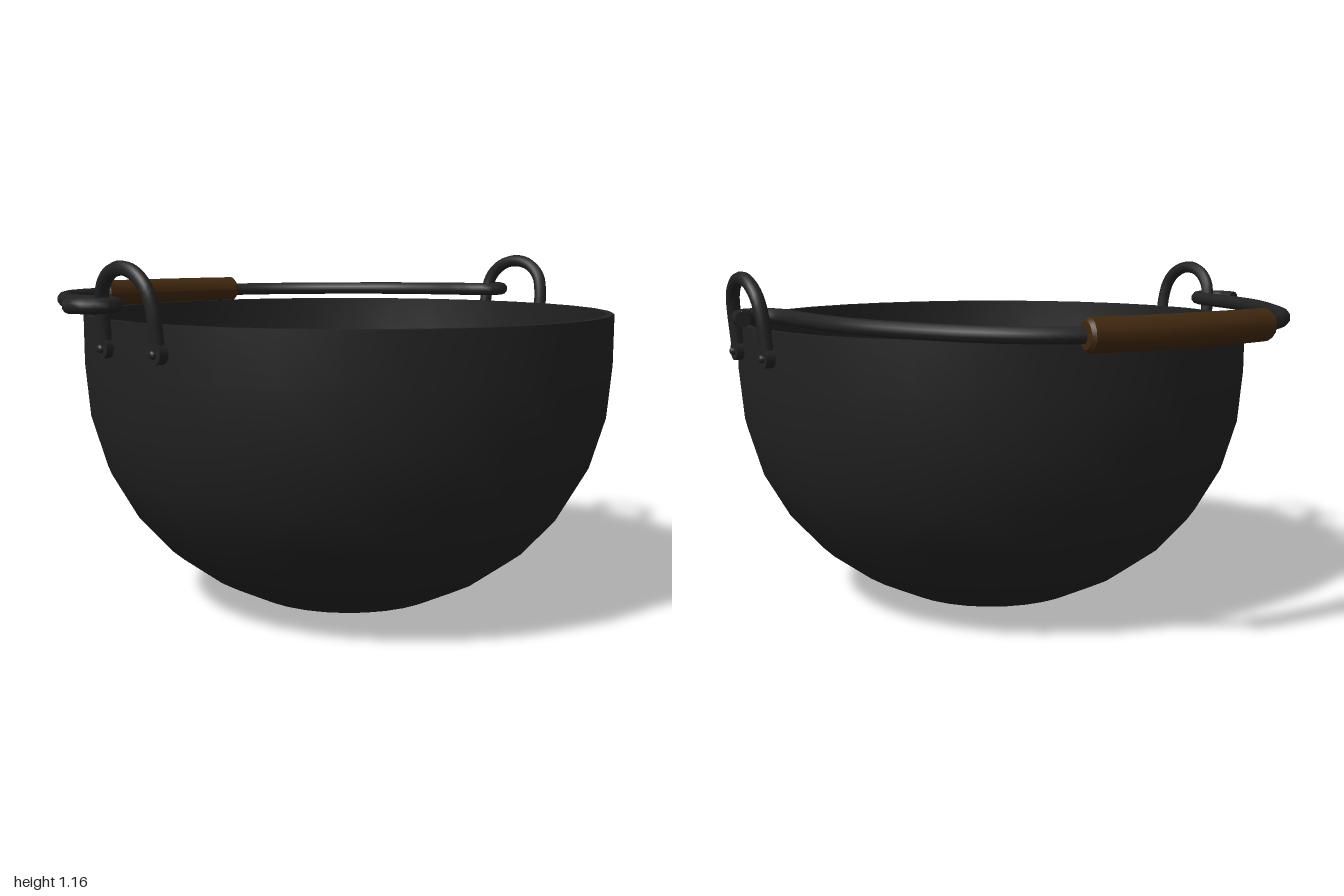
import * as THREE from 'three';
import { mergeGeometries } from 'three/addons/utils/BufferGeometryUtils.js';

const iron = new THREE.MeshStandardMaterial({ color: 0x222222 });
iron.name = 'castIron';
const wood = new THREE.MeshStandardMaterial({ color: 0x40270e });
wood.name = 'gripWood';

const vec = (p) => new THREE.Vector3(...p);

function add(parent, name, geometry, material = iron) {
  const mesh = new THREE.Mesh(geometry, material);
  mesh.name = name;
  parent.add(mesh);
  return mesh;
}

// Round rod along a smooth curve, closed with a flat disc at each end
function rod(points, radius, segments, sides = 10) {
  const curve = new THREE.CatmullRomCurve3(points.map(vec));
  const parts = [new THREE.TubeGeometry(curve, segments, radius, sides)];
  for (const t of [0, 1]) {
    const dir = curve.getTangentAt(t).multiplyScalar(t ? 1 : -1);
    const q = new THREE.Quaternion().setFromUnitVectors(new THREE.Vector3(0, 0, 1), dir);
    const at = curve.getPointAt(t);
    parts.push(new THREE.CircleGeometry(radius, sides).applyQuaternion(q).translate(at.x, at.y, at.z));
  }
  return mergeGeometries(parts);
}

const lathe = (profile) =>
  new THREE.LatheGeometry(profile.map(([r, y]) => new THREE.Vector2(r, y)), 32);

export function createModel() {
  const model = new THREE.Group();
  model.name = 'cauldron';
  const potZ = 0.113;

  // Bowl: outer wall, flat rim and inner wall
  const bowl = new THREE.Group();
  bowl.name = 'bowl';
  bowl.position.z = potZ;
  model.add(bowl);
  const wall = [[0.34, 0.025], [0.49, 0.1], [0.625, 0.2], [0.735, 0.325],
    [0.82, 0.475], [0.87, 0.645], [0.885, 0.82], [0.885, 0.987]];
  add(bowl, 'outerWall', lathe([[0, 0.004], [0.18, 0.004], ...wall]));
  add(bowl, 'rim', lathe([[0.885, 0.987], [0.86, 0.987]]));
  const inner = wall.map(([r, y], i) => [r - 0.025, i === wall.length - 1 ? y : y + 0.02 * (1 - i / 7)]);
  add(bowl, 'innerWall', lathe([[0, 0.028], [0.17, 0.028], ...inner].reverse()));

  // Arched ears riveted to both sides
  for (const side of [1, -1]) {
    const ear = new THREE.Group();
    ear.name = side > 0 ? 'leftEar' : 'rightEar';
    model.add(ear);
    const arch = [];
    for (const s of [1, -1]) {
      const legs = [[0.882, 0.9, 0.135], [0.887, 0.955, 0.134], [0.895, 1.03, 0.13]]
        .map(([x, y, z]) => [side * x, y, potZ + 0.005 + s * z]);
      if (s > 0) {
        arch.push(...legs);
        for (let i = 1; i < 6; i++) {
          const a = (i / 6) * Math.PI;
          arch.push([side * (0.895 + 0.015 * Math.sin(a)), 1.03 + 0.115 * Math.sin(a),
            potZ + 0.005 + 0.13 * Math.cos(a)]);
        }
      } else arch.push(...legs.reverse());
      // Flattened foot and rivet head
      const z = potZ + 0.005 + s * 0.135;
      add(ear, 'earFoot', new THREE.CylinderGeometry(0.032, 0.032, 0.03, 14)
        .rotateZ(Math.PI / 2).translate(side * 0.884, 0.905, z));
      add(ear, 'rivet', new THREE.SphereGeometry(0.014, 10, 6)
        .translate(side * 0.9, 0.903, z));
    }
    add(ear, 'earLoop', rod(arch, 0.022, 36));
  }

  // Bail handle lying back, with a hook at each end passing through the ears
  const bailY = (z) => 1.033 + 0.015 * Math.min(z, 0);
  const half = [[0.976, -0.07], [0.968, -0.01], [0.93, 0.028], [0.88, 0.024], [0.845, -0.02],
    [0.828, -0.1], [0.815, -0.22], [0.775, -0.4], [0.69, -0.575], [0.57, -0.745],
    [0.44, -0.855], [0.3, -0.918], [0.15, -0.94]];
  const left = half.map(([x, z]) => [x, bailY(z), z]);
  const right = left.map(([x, y, z]) => [-x, y, z]).reverse();
  add(model, 'bail', rod([...left, [0, bailY(-0.948), -0.948], ...right], 0.024, 96));

  // Wooden grip following the bend of the bail, with bevelled ends
  const grip = new THREE.CylinderGeometry(0.05, 0.05, 0.63, 16, 8);
  const ends = [1, -1].map((s) => new THREE.CylinderGeometry(
    s > 0 ? 0.04 : 0.05, s > 0 ? 0.05 : 0.04, 0.01, 16).translate(0, s * 0.32, 0));
  const gripGeometry = mergeGeometries([grip, ...ends]).rotateZ(Math.PI / 2);
  const p = gripGeometry.attributes.position;
  for (let i = 0; i < p.count; i++) {
    const x = p.getX(i);
    const slope = 0.56 * x;
    p.setXYZ(i, x - slope * p.getZ(i), p.getY(i) + 1.02, p.getZ(i) - 0.95 + 0.28 * x * x);
  }
  gripGeometry.computeVertexNormals();
  add(model, 'grip', gripGeometry, wood);

  return model;
}
